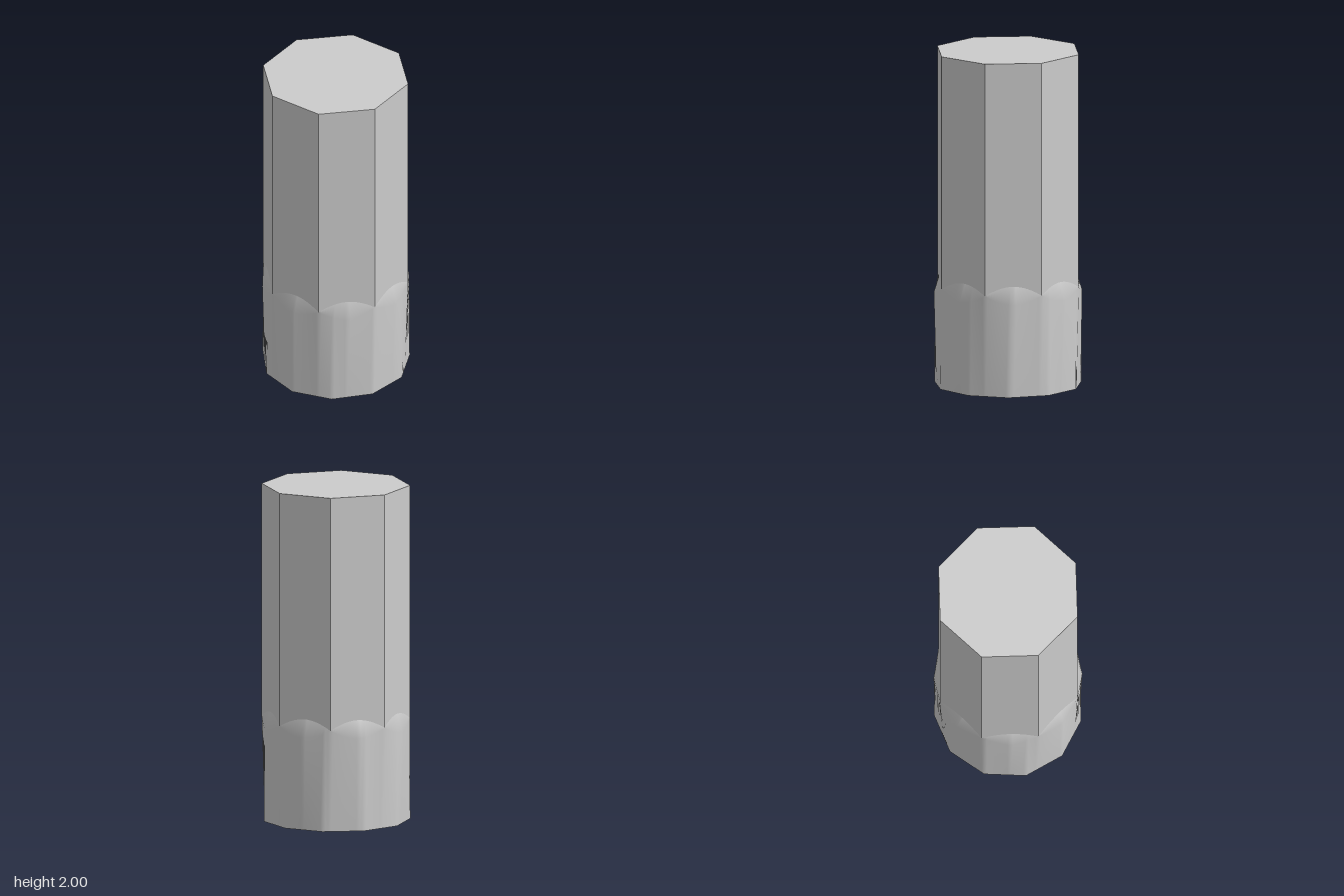
import * as THREE from 'three';

const R = 0.438, WALL = 0.026, TOP = 2;
const COLS = 176; // divisible by 8, 11 and 16 so every polygon corner is a column

// Radius at angle a of a regular n-gon with circumradius r and a corner at angle a0
function polyRadius(a, n, r, a0) {
  const step = (2 * Math.PI) / n;
  const d = ((((a - a0) % step) + step) % step) - step / 2;
  return (r * Math.cos(step / 2)) / Math.cos(d);
}

const elevenSided = (a, r) => polyRadius(a, 11, r, Math.PI);
const octagon = (a, r) => polyRadius(a, 8, r, Math.PI / 8);

// Height of the collar's curved edges: 1 at the middle of a flat, 0 at a corner
function bulge(a) {
  const u = (a / (Math.PI / 4)) - Math.round(a / (Math.PI / 4));
  return 1 - 4 * u * u;
}

// Smooth closed skin through rings, each given as angle => [radius, height]
function loft(rings) {
  const pos = [], index = [];
  rings.forEach((ring, j) => {
    for (let i = 0; i < COLS; i++) {
      const a = (i / COLS) * Math.PI * 2;
      const [r, y] = ring(a);
      pos.push(r * Math.cos(a), y, r * Math.sin(a));
      if (j === 0) continue;
      const n = (i + 1) % COLS, lo = (j - 1) * COLS, up = j * COLS;
      index.push(lo + i, up + i, lo + n, up + i, up + n, lo + n);
    }
  });
  const g = new THREE.BufferGeometry();
  g.setAttribute('position', new THREE.Float32BufferAttribute(pos, 3));
  g.setIndex(index);
  g.computeVertexNormals();
  return g;
}

export function createModel() {
  const group = new THREE.Group();
  const smooth = new THREE.MeshStandardMaterial({ color: 0xcccccc });
  const flat = new THREE.MeshStandardMaterial({ color: 0xcccccc, flatShading: true });
  const add = (name, geometry, material) => {
    const mesh = new THREE.Mesh(geometry, material);
    mesh.name = name;
    group.add(mesh);
    return mesh;
  };

  // Octagonal shaft with a closed top
  const low = 0.6;
  const shaft = new THREE.CylinderGeometry(R, R, TOP - low, 8, 1, true, Math.PI / 8);
  add('shaft', shaft.translate(0, (TOP + low) / 2, 0), flat);
  const cap = new THREE.CircleGeometry(R, 8, Math.PI / 8);
  add('topCap', cap.rotateX(-Math.PI / 2).translate(0, TOP, 0), flat);

  // Round collar, its shoulder running into the flats of the shaft in arcs
  add('collar', loft([
    a => [elevenSided(a, R), 0],
    a => [polyRadius(a, 16, R, 0), 0.605 - 0.05 * bulge(a)],
    a => [octagon(a, R), 0.605 + 0.055 * bulge(a)],
  ]), smooth);

  // Flat rim around the open bottom
  const inner = R - WALL;
  add('bottomRim', loft([
    a => [elevenSided(a, inner), 0],
    a => [elevenSided(a, R), 0],
  ]), smooth);

  // Hollow inside
  const ceiling = TOP - WALL;
  add('cavityWall', loft([
    a => [octagon(a, inner), ceiling],
    a => [octagon(a, inner), 0.62],
    a => [elevenSided(a, inner), 0],
  ]), smooth);
  const roof = new THREE.CircleGeometry(inner, 8, Math.PI / 8);
  add('cavityCeiling', roof.rotateX(Math.PI / 2).translate(0, ceiling, 0), flat);

  return group;
}
